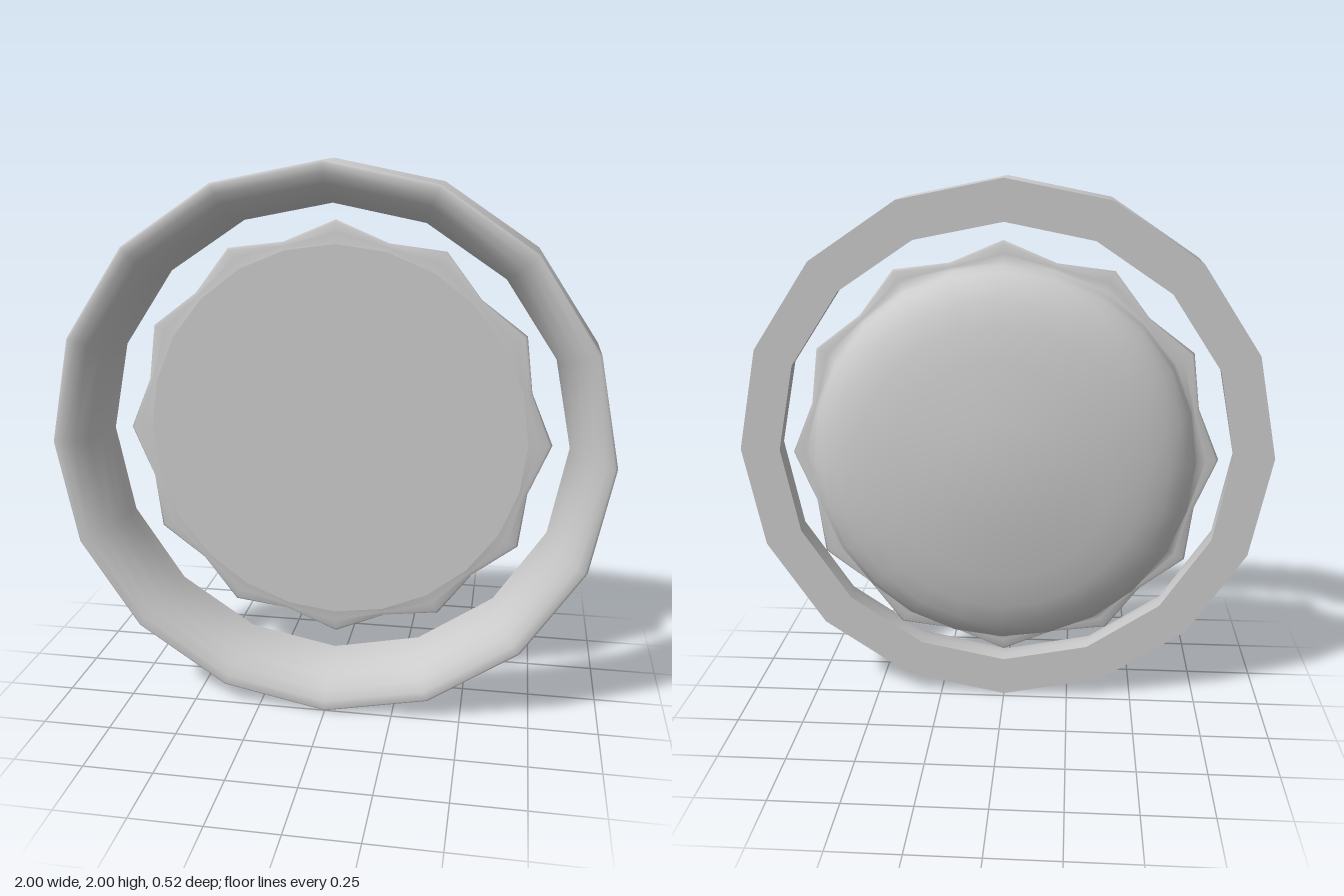
import * as THREE from 'three';
import { mergeVertices } from 'three/addons/utils/BufferGeometryUtils.js';

const material = new THREE.MeshStandardMaterial({ color: 0xcccccc });

// Revolve [radius, z] points around the z axis
function revolve(points, sides) {
  const profile = points.map(([r, z]) => new THREE.Vector2(r, z));
  return new THREE.LatheGeometry(profile, sides).rotateX(Math.PI / 2);
}

function add(parent, geometry, name) {
  const mesh = new THREE.Mesh(geometry, material);
  mesh.name = name;
  parent.add(mesh);
  return mesh;
}

export function createModel() {
  const model = new THREE.Group();
  model.name = 'ringAndDisc';
  const body = new THREE.Group();
  body.name = 'body';
  body.position.y = 1;
  model.add(body);

  // Sixteen-sided ring: flat back, straight wall, rounded inner front
  const ring = new THREE.Group();
  ring.name = 'ring';
  body.add(ring);
  add(ring, revolve([[0.85, 0.02], [1, 0.02]], 16), 'ringBack');
  add(ring, revolve([[1, 0.02], [1, 0.25]], 16), 'ringOuterWall');
  add(ring, revolve([
    [1, 0.25], [0.99, 0.26], [0.96, 0.255], [0.925, 0.235],
    [0.89, 0.195], [0.865, 0.14], [0.853, 0.08], [0.85, 0.02],
  ], 16), 'ringInnerCurve');

  // Domed back flowing into a thin flange
  const sides = 24, faceRadius = 0.705;
  const dome = revolve([
    [0, -0.263], [0.2, -0.253], [0.4, -0.228], [0.52, -0.203], [0.6, -0.175],
    [0.655, -0.14], [0.69, -0.1], [0.702, -0.065], [0.702, -0.03],
    [0.715, -0.015], [0.745, -0.01], [0.78, -0.009], [0.79, 0],
    [0.78, 0.008], [0.745, 0.009], [faceRadius, 0.014],
  ], sides);

  // Pull in every second spoke of the flange to leave twelve points
  const pos = dome.attributes.position;
  for (let i = 0; i < pos.count; i++) {
    const x = pos.getX(i), y = pos.getY(i), r = Math.hypot(x, y);
    const spoke = Math.round(Math.atan2(y, x) / (Math.PI * 2) * sides);
    if (r > faceRadius + 0.001 && spoke % 2 !== 0) {
      const k = (faceRadius + (r - faceRadius) * 0.35) / r;
      pos.setXY(i, x * k, y * k);
    }
  }
  dome.deleteAttribute('uv');
  dome.deleteAttribute('normal');
  const smoothDome = mergeVertices(dome, 1e-4);
  smoothDome.computeVertexNormals();
  add(body, smoothDome, 'domeAndFlange');

  // Flat front of the disc
  add(body, new THREE.CircleGeometry(faceRadius, sides), 'discFace').position.z = 0.014;

  return model;
}
